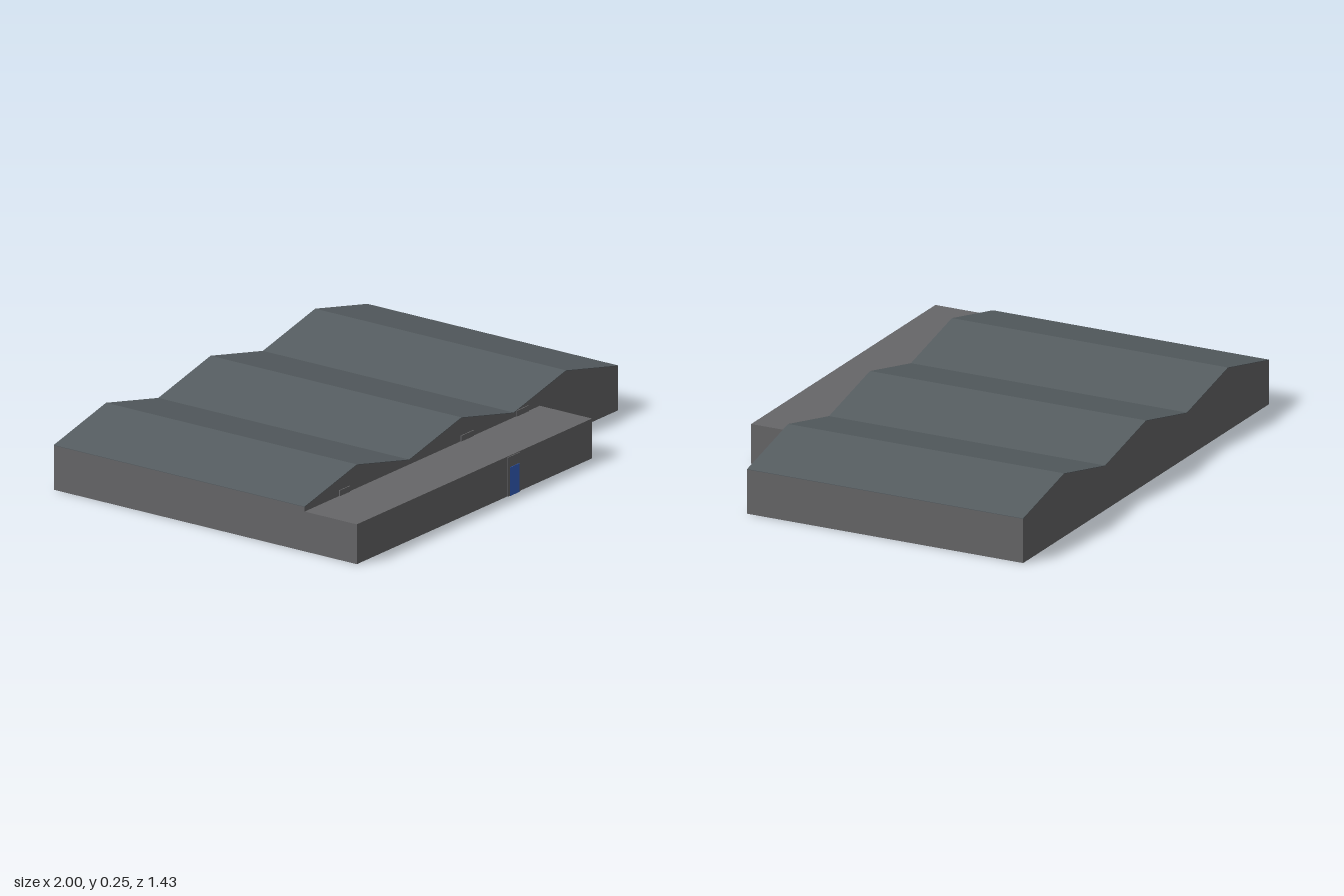
import * as THREE from 'three';

const WALL = 0x666668, ROOF = 0x555c60, BLUE = 0x3560c0;
const EAVE = 0.18, RIDGE = 0.255, BAYS = 3;
const BACK = -0.717, HALL_FRONT = 0.465, ANNEX_FRONT = 0.711;

export function createModel() {
  const model = new THREE.Group();
  const materials = {};
  const material = (color) =>
    (materials[color] ??= new THREE.MeshStandardMaterial({ color, flatShading: true }));

  function add(name, geometry, color) {
    const mesh = new THREE.Mesh(geometry, material(color));
    mesh.name = name;
    model.add(mesh);
  }

  // Box given by its lower and upper corners
  function box(name, [x0, y0, z0], [x1, y1, z1], color) {
    const g = new THREE.BoxGeometry(x1 - x0, y1 - y0, z1 - z0);
    add(name, g.translate((x0 + x1) / 2, (y0 + y1) / 2, (z0 + z1) / 2), color);
  }

  // Profile in x and y, extruded along the depth of the hall
  function hallPrism(name, points, color) {
    const g = new THREE.ExtrudeGeometry(new THREE.Shape(points), {
      depth: HALL_FRONT - BACK, bevelEnabled: false,
    });
    add(name, g.translate(0, 0, BACK), color);
  }

  // Zigzag roof line: eave, ridge, valley, ridge ...
  const roofLine = (drop) => Array.from({ length: BAYS * 2 + 1 }, (_, i) =>
    new THREE.Vector2(-1 + i / BAYS, (i % 2 ? RIDGE : EAVE) - drop));

  // Main hall with three gables
  const skin = 0.002;
  hallPrism('hallWalls',
    [new THREE.Vector2(1, 0), ...roofLine(skin).reverse(), new THREE.Vector2(-1, 0)], WALL);
  hallPrism('hallRoof', [...roofLine(skin), ...roofLine(0).reverse()], ROOF);

  // Low front annex
  box('annex', [-1, 0, HALL_FRONT], [0.5, 0.16, ANNEX_FRONT], WALL);

  // Entrance: surround and blue door
  box('doorSurround', [-0.04, 0, ANNEX_FRONT], [0.04, 0.157, 0.715], WALL);
  box('frontDoor', [-0.03, 0, 0.715], [0.03, 0.115, 0.717], BLUE);

  // Tops of the inner doorways on the hall's front wall
  for (const [x0, x1] of [[-0.78, -0.715], [-0.005, 0.075], [0.35, 0.425]]) {
    box('innerDoorway', [x0, 0.16, HALL_FRONT], [x1, 0.183, HALL_FRONT + 0.004], WALL);
  }

  return model;
}
